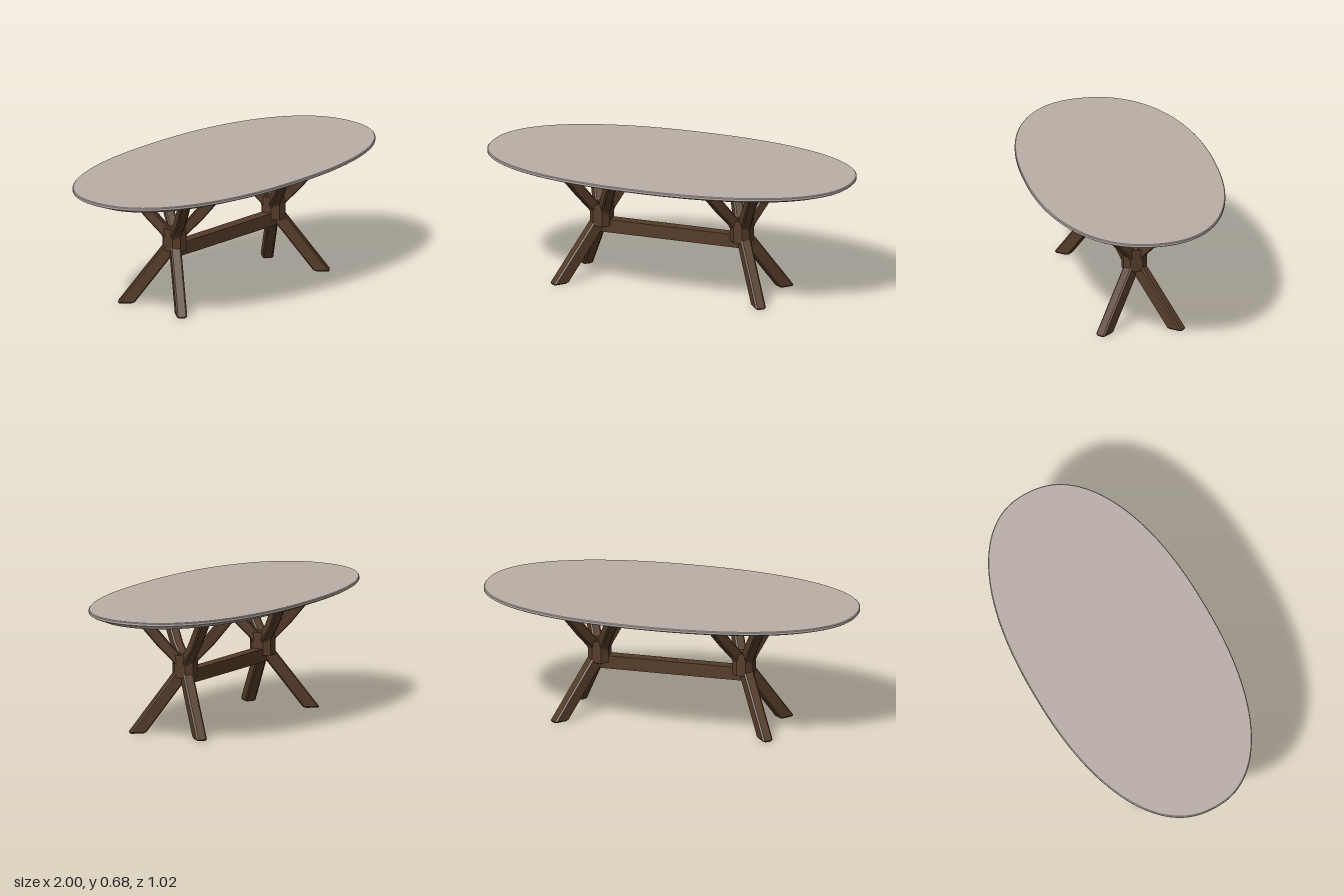
import * as THREE from 'three';
import { toCreasedNormals } from 'three/addons/utils/BufferGeometryUtils.js';

// Closed solid through stacked loops of points, listed from bottom to top.
function loft(rows, crease) {
  const n = rows[0].length, pos = [];
  const tri = (...pts) => pts.forEach((p) => pos.push(p.x, p.y, p.z));
  const centre = (row) => row.reduce((s, p) => s.add(p), new THREE.Vector3()).divideScalar(n);
  const low = rows[0], high = rows[rows.length - 1];
  const c0 = centre(low), c1 = centre(high);
  for (let j = 0; j < n; j++) {
    const k = (j + 1) % n;
    for (let i = 0; i + 1 < rows.length; i++) {
      tri(rows[i][j], rows[i + 1][j], rows[i][k]);
      tri(rows[i][k], rows[i + 1][j], rows[i + 1][k]);
    }
    tri(c0, low[j], low[k]);
    tri(c1, high[k], high[j]);
  }
  const g = new THREE.BufferGeometry();
  g.setAttribute('position', new THREE.Float32BufferAttribute(pos, 3));
  return toCreasedNormals(g, crease);
}

// Horizontal rectangle with clipped corners, its length running along (dx, dz).
function section(x, y, z, dx, dz, length, width, clip = 0.008) {
  const s = Math.hypot(dx, dz), a = length / 2, b = width / 2, c = clip;
  return [[a, -b + c], [a, b - c], [a - c, b], [-a + c, b], [-a, b - c], [-a, -b + c], [-a + c, -b], [a - c, -b]]
    .map(([u, w]) => new THREE.Vector3(x + (u * dx - w * dz) / s, y, z + (u * dz + w * dx) / s));
}

// Rounded oval outline, moved inward by a set distance.
function oval(inset, y, n = 128) {
  const e = 2 / 2.25, sp = (v, p) => Math.sign(v) * Math.abs(v) ** p;
  return Array.from({ length: n }, (_, i) => {
    const t = (i / n) * Math.PI * 2, c = Math.cos(t), s = Math.sin(t);
    const nx = sp(c, 2 - e), nz = sp(s, 2 - e) / 0.51, l = Math.hypot(nx, nz);
    return new THREE.Vector3(sp(c, e) - (nx / l) * inset, y, 0.51 * sp(s, e) - (nz / l) * inset);
  });
}

export function createModel() {
  const stone = new THREE.MeshStandardMaterial({ color: 0xb9aea6 });
  stone.name = 'warm grey top';
  const wood = new THREE.MeshStandardMaterial({ color: 0x553b29 });
  wood.name = 'dark brown wood';

  const model = new THREE.Group();
  model.name = 'ovalTable';
  const add = (parent, name, geometry, material) => {
    const mesh = new THREE.Mesh(geometry, material);
    mesh.name = name;
    parent.add(mesh);
    return mesh;
  };

  // Table top with a bevelled underside
  add(model, 'tableTop', loft([
    oval(0.072, 0.632), oval(0.008, 0.656), oval(0, 0.661), oval(0, 0.672), oval(0.004, 0.676),
  ], 0.45), stone);

  const hubX = 0.39;
  for (const side of [1, -1]) {
    const base = new THREE.Group();
    base.name = side > 0 ? 'leftPedestal' : 'rightPedestal';
    model.add(base);

    // Central joint
    add(base, 'joint', loft([0.29, 0.41].map((y) =>
      section(side * hubX, y, 0, 1, 0, 0.11, 0.125, 0.03)), 0.3), wood);

    for (const front of [1, -1]) {
      // Splayed lower leg with a softened foot
      const leg = [[0, 0.006], [0.007, 0], [0.36, 0]].map(([y, trim]) => {
        const t = 1 - y / 0.335;
        return section(side * (hubX + 0.167 * t), y, front * 0.193 * t,
          side * 0.167, front * 0.193, 0.086 - trim * 2, 0.056 - trim * 2);
      });
      add(base, front > 0 ? 'frontLeg' : 'backLeg', loft(leg, 0.3), wood);

      // Upper arms, one leaning outward and one inward
      for (const out of [1, -1]) {
        const dx = side * out;
        const arm = [[0.31, 0, 0], [0.375, 0.022, 0.02], [0.46, 0.062, 0.092], [0.633, 0.146, 0.208]]
          .map(([y, x, z]) => section(side * hubX + dx * x, y, front * z, dx * 0.146, front * 0.2, 0.076, 0.052));
        add(base, out > 0 ? 'outerArm' : 'innerArm', loft(arm, 0.3), wood);
      }
    }

    // Square frame under the top
    const frame = new THREE.Shape([[-0.155, -0.21], [0.155, -0.21], [0.155, 0.21], [-0.155, 0.21]]
      .map((p) => new THREE.Vector2(...p)));
    frame.holes.push(new THREE.Path([[-0.085, -0.13], [-0.085, 0.13], [0.085, 0.13], [0.085, -0.13]]
      .map((p) => new THREE.Vector2(...p))));
    const frameGeo = new THREE.ExtrudeGeometry(frame, { depth: 0.033, bevelEnabled: false });
    frameGeo.rotateX(-Math.PI / 2).translate(side * hubX, 0.6, 0);
    add(base, 'topFrame', frameGeo, wood);
  }

  // Stretcher joining both pedestals
  add(model, 'stretcher', new THREE.BoxGeometry(hubX * 2, 0.07, 0.06), wood).position.y = 0.29;

  return model;
}
